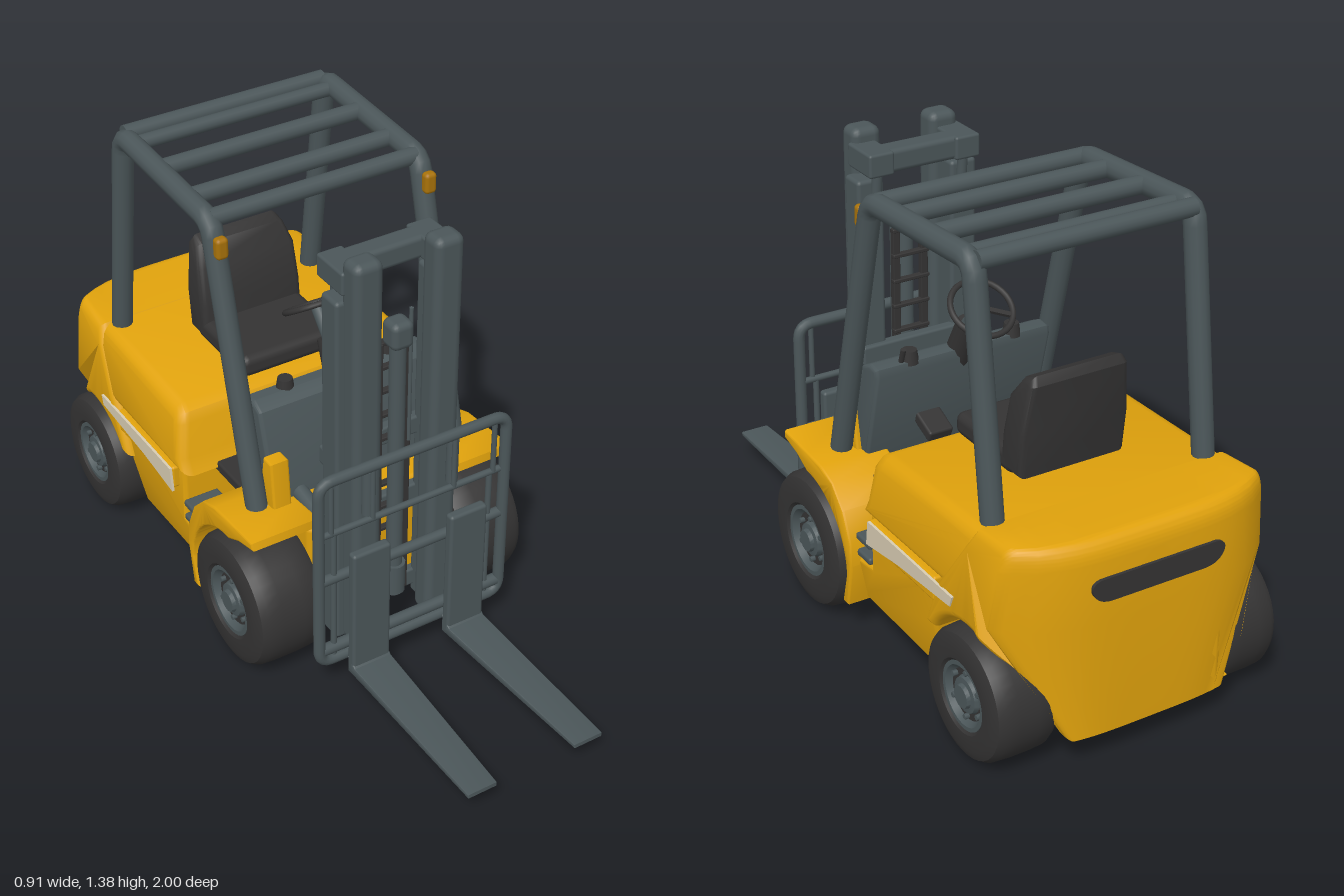
import * as THREE from 'three';
import { toCreasedNormals } from 'three/addons/utils/BufferGeometryUtils.js';
import { RoundedBoxGeometry } from 'three/addons/geometries/RoundedBoxGeometry.js';

const paint = (name, color) => Object.assign(new THREE.MeshStandardMaterial({ color }), { name });
const clamp = (v) => Math.min(1, Math.max(0, v));

export function createModel() {
  const yellow = paint('yellow paint', 0xe0a20c);
  const grey = paint('steel grey', 0x4b5659);
  const black = paint('rubber black', 0x343333);
  const cream = paint('cream stripe', 0xd8ccb2);
  const amber = paint('amber lamp', 0xa8720a);
  const root = new THREE.Group();
  root.name = 'forklift';

  const add = (name, geo, mat, parent = root) => {
    const m = new THREE.Mesh(geo, mat);
    m.name = name;
    parent.add(m);
    return m;
  };
  // box given by its extents on each axis
  const box = (name, mat, [x0, x1], [y0, y1], [z0, z1], r = 0.008) => {
    const g = new RoundedBoxGeometry(x1 - x0, y1 - y0, z1 - z0, 2, r);
    g.translate((x0 + x1) / 2, (y0 + y1) / 2, (z0 + z1) / 2);
    return add(name, g, mat);
  };
  // round bar between two points
  const bar = (name, mat, a, b, r, r2 = r) => {
    const A = new THREE.Vector3(...a), B = new THREE.Vector3(...b), d = B.clone().sub(A);
    const m = add(name, new THREE.CylinderGeometry(r2, r, d.length(), 16), mat);
    m.position.copy(A).add(B).multiplyScalar(0.5);
    m.quaternion.setFromUnitVectors(new THREE.Vector3(0, 1, 0), d.normalize());
    return m;
  };
  const tube = (name, mat, pts, r) => {
    const path = new THREE.CurvePath();
    const v = pts.map((p) => new THREE.Vector3(...p));
    let prev = v[0];
    // straight runs joined by short rounded corners
    for (let i = 1; i < v.length - 1; i++) {
      const a = v[i].clone().add(v[i - 1].clone().sub(v[i]).setLength(0.045));
      const b = v[i].clone().add(v[i + 1].clone().sub(v[i]).setLength(0.045));
      path.add(new THREE.LineCurve3(prev, a));
      path.add(new THREE.QuadraticBezierCurve3(a, v[i], b));
      prev = b;
    }
    path.add(new THREE.LineCurve3(prev, v[v.length - 1]));
    return add(name, new THREE.TubeGeometry(path, 90, r, 12), mat);
  };
  // side profile in (z, y), extruded across x from x0 to x1
  const profile = (pts) => new THREE.Shape(pts.map((p) => new THREE.Vector2(...p)));
  const slab = (name, mat, shape, x0, x1, bevel, rule, steps = 1) => {
    let g = new THREE.ExtrudeGeometry(shape, {
      depth: x1 - x0 - 2 * bevel, steps, curveSegments: 20, bevelEnabled: bevel > 0,
      bevelSize: bevel, bevelThickness: bevel, bevelOffset: -bevel, bevelSegments: 4,
    });
    g.translate(0, 0, -(x1 - x0) / 2 + bevel);
    g.rotateY(-Math.PI / 2);
    g.translate((x0 + x1) / 2, 0, 0);
    if (rule) {
      const p = g.attributes.position, v = new THREE.Vector3();
      for (let i = 0; i < p.count; i++) {
        rule(v.fromBufferAttribute(p, i));
        p.setXYZ(i, v.x, v.y, v.z);
      }
    }
    return add(name, toCreasedNormals(g, 0.6), mat);
  };

  // Rear counterweight: wheel arches, rounded plan and a lower edge narrowing between the wheels
  const cw = profile([[-0.55, 0.3], [-0.61, 0.45], [-0.72, 0.62], [-0.75, 0.67], [-0.94, 0.685]]);
  cw.quadraticCurveTo(-0.985, 0.685, -0.99, 0.62);
  cw.lineTo(-1.0, 0.45);
  cw.lineTo(-0.995, 0.1);
  cw.lineTo(-0.97, 0.1);
  cw.absarc(-0.77, 0.19, 0.205, Math.PI, 0.55, true);
  slab('counterweight', yellow, cw, -0.435, 0.435, 0.025, (v) => {
    v.x *= 1 - 0.09 * clamp((v.y - 0.45) / 0.23) ** 2;
    v.x *= 1 - 0.42 * clamp((-0.85 - v.z) / 0.1) * clamp((0.45 - v.y) / 0.35);
    v.z += 0.12 * clamp((-0.8 - v.z) / 0.2) * (Math.abs(v.x) / 0.43) ** 4;
  }, 16);
  const slot = new THREE.Shape();
  slot.moveTo(-0.18, 0.585).lineTo(0.18, 0.585);
  slot.quadraticCurveTo(0.215, 0.58, 0.205, 0.55);
  slot.quadraticCurveTo(0.19, 0.515, 0.14, 0.515).lineTo(-0.14, 0.515);
  slot.quadraticCurveTo(-0.19, 0.515, -0.205, 0.55);
  slot.quadraticCurveTo(-0.215, 0.58, -0.18, 0.585);
  const slotGeo = new THREE.ExtrudeGeometry(slot, { depth: 0.009, bevelEnabled: false });
  slotGeo.translate(0, 0, -1.003);
  add('rear vent slot', slotGeo, black);

  // Hood and lower body
  slab('hood', yellow, profile([[-0.19, 0.45], [-0.215, 0.5], [-0.23, 0.61], [-0.245, 0.64], [-0.28, 0.655],
    [-0.76, 0.668], [-0.76, 0.6], [-0.66, 0.45]]), -0.425, 0.425, 0.035,
  (v) => { v.x *= 1 - 0.08 * clamp((v.y - 0.5) / 0.16) ** 2; });
  slab('lowerBody', yellow, profile([[-0.1, 0.11], [-0.13, 0.27], [-0.22, 0.28], [-0.22, 0.46], [-0.65, 0.46],
    [-0.6, 0.38], [-0.57, 0.28], [-0.57, 0.1]]), -0.41, 0.41, 0.015,
  (v) => { v.x *= 1 - 0.1 * clamp((0.25 - v.y) / 0.15); });
  box('chassisCore', yellow, [-0.235, 0.235], [0.1, 0.45], [-0.985, 0.2], 0.02);
  box('rearAxle', grey, [-0.3, 0.3], [0.075, 0.16], [-0.82, -0.72]);
  bar('frontAxle', grey, [-0.3, 0.21, 0.1], [0.3, 0.21, 0.1], 0.05);

  // Footwell floor, dash and cowl
  box('floor', black, [-0.31, 0.31], [0.43, 0.465], [-0.23, 0.12]);
  slab('dash', grey, profile([[0.1, 0.46], [0.1, 0.53], [0.03, 0.77], [-0.01, 0.79], [-0.05, 0.785], [-0.055, 0.76],
    [0.02, 0.46]]), -0.29, 0.29, 0.012);
  box('frontCowl', yellow, [-0.235, 0.235], [0.44, 0.5], [0.06, 0.2], 0.015);
  for (const x of [-0.17, 0.17]) bar('dashKnob', black, [x, 0.775, -0.03], [x, 0.815, -0.03], 0.028, 0.022);
  bar('lever', black, [0.2, 0.77, -0.03], [0.2, 0.83, -0.05], 0.008);
  const pedal = box('pedal', black, [0.06, 0.14], [-0.018, 0.018], [-0.06, 0.06]);
  pedal.position.set(0, 0.57, -0.03);
  pedal.rotation.x = -0.4;

  // Steering column and wheel
  bar('steeringColumn', black, [0, 0.66, 0.03], [0, 0.87, -0.07], 0.045, 0.035);
  bar('steeringShaft', grey, [0, 0.86, -0.06], [0, 0.95, -0.14], 0.02);
  const steer = new THREE.Group();
  steer.name = 'steeringWheel';
  steer.position.set(0, 0.945, -0.14);
  steer.rotation.x = -Math.PI / 2 + 0.6 - 1.2 + 1.2 - 1.2;
  root.add(steer);
  add('steeringRim', new THREE.TorusGeometry(0.092, 0.009, 10, 32), black, steer);
  for (let i = 0; i < 3; i++) {
    const spoke = add('steeringSpoke', new THREE.BoxGeometry(0.014, 0.09, 0.01).translate(0, 0.045, 0), black, steer);
    spoke.rotation.z = (i * Math.PI * 2) / 3;
  }
  steer.rotation.x = Math.PI / 2 - 0.6;

  // Seat
  box('seatCushion', black, [-0.17, 0.17], [0.66, 0.73], [-0.56, -0.27], 0.025);
  slab('seatBack', black, profile([[-0.5, 0.67], [-0.51, 0.78], [-0.535, 0.9], [-0.575, 0.96], [-0.615, 0.975],
    [-0.63, 0.95], [-0.615, 0.8], [-0.6, 0.67]]), -0.17, 0.17, 0.02,
  (v) => { v.x *= 1 - 0.15 * clamp((v.y - 0.85) / 0.12) ** 2; });

  // Wheels
  const wheel = (side, z, r, x0, x1) => {
    const g = new THREE.Group();
    g.name = z > 0 ? 'frontWheel' : 'rearWheel';
    g.position.set(side * (x0 + x1) / 2, r, z);
    g.rotation.y = side > 0 ? 0 : Math.PI;
    root.add(g);
    const h = (x1 - x0) / 2, rim = r * 0.52;
    const lathe = (name, mat, pts) => add(name, toCreasedNormals(new THREE.LatheGeometry(
      pts.map((p) => new THREE.Vector2(...p)), 40).rotateZ(-Math.PI / 2), 0.6), mat, g);
    lathe('tyre', black, [[0, -h], [r * 0.8, -h], [r * 0.93, -h * 0.93], [r * 0.985, -h * 0.75], [r, -h * 0.3],
      [r, h * 0.3], [r * 0.985, h * 0.72], [r * 0.93, h * 0.9], [r * 0.8, h], [rim * 1.08, h * 0.98], [rim, h * 0.9],
      [rim, h * 0.72], [0, h * 0.72]]);
    lathe('rim', grey, [[rim, h * 0.7], [rim, h * 0.92], [rim * 0.88, h * 0.92], [rim * 0.75, h * 0.75]]);
    lathe('hub', grey, [[0.055, h * 0.7], [0.05, h * 0.85], [0.035, h * 0.87], [0.032, h * 0.98], [0, h * 0.98]]);
    for (let i = 0; i < 6; i++) {
      const a = (i * Math.PI) / 3;
      add('wheelNut', new THREE.CylinderGeometry(0.008, 0.008, 0.02, 6).rotateZ(-Math.PI / 2)
        .translate(h * 0.76, Math.cos(a) * 0.068, Math.sin(a) * 0.068), grey, g);
    }
  };

  // Paired parts on each side
  const fender = profile([[0.24, 0.485], [0.235, 0.51], [0.1, 0.5], [0.02, 0.495], [-0.05, 0.47], [-0.11, 0.41],
    [-0.15, 0.32], [-0.155, 0.25], [-0.13, 0.11], [-0.1, 0.11]]);
  fender.absarc(0.1, 0.21, 0.225, Math.PI, Math.PI * 0.5, true);
  fender.lineTo(0.16, 0.465);
  const stripe = [[-0.245, 0.375], [-0.255, 0.452], [-0.7, 0.452], [-0.69, 0.42], [-0.42, 0.4]];
  for (const s of [-1, 1]) {
    const X = (a, b) => (s > 0 ? [a, b] : [-b, -a]);
    wheel(s, 0.1, 0.208, 0.235, 0.455);
    wheel(s, -0.77, 0.19, 0.26, 0.455);
    slab('frontFender', yellow, fender, ...X(0.22, 0.44), 0.008);
    slab('sideStripe', cream, profile(stripe), ...X(0.43, 0.438), 0);
    box('stripeBacking', yellow, X(0.38, 0.431), [0.38, 0.455], [-0.6, -0.25]);
    for (const y of [0.29, 0.34]) box('step', grey, X(0.3, 0.415), [y - 0.01, y + 0.012], [-0.22, -0.14]);
    slab('pillarCheek', yellow, profile([[0.13, 0.48], [0.115, 0.65], [0.07, 0.65], [0.04, 0.48]]), ...X(0.245, 0.305), 0.008);
    box('pillarFoot', cream, X(0.3, 0.37), [0.42, 0.5], [0.075, 0.12]);

    // Overhead guard side frame
    tube('guardFrame', grey, [[s * 0.335, 0.48, 0.085], [s * 0.335, 1.33, -0.125], [s * 0.335, 1.355, -0.635],
      [s * 0.335, 0.64, -0.735]], 0.032);
    box('markerLamp', amber, X(0.316, 0.354), [1.24, 1.305], [-0.09, -0.058], 0.012);

    // Mast rails
    box('innerMastRail', grey, X(0.08, 0.172), [0.08, 1.37], [0.265, 0.345], 0.025);
    box('outerMastRail', grey, X(0.11, 0.195), [0.08, 1.24], [0.205, 0.285], 0.012);
    box('mastTopBracket', grey, X(0.1, 0.18), [1.26, 1.33], [0.16, 0.29]);
    bar('mastHose', grey, [s * 0.14, 1.27, 0.19], [s * 0.14, 1.17, 0.2], 0.015);
    box('liftChain', black, X(0.035, 0.058), [0.16, 1.05], [0.25, 0.27], 0.003);
    bar('chainGuide', grey, [s * 0.052, 0.7, 0.27], [s * 0.052, 1.14, 0.27], 0.006);
    bar('tiltCylinder', grey, [s * 0.2, 0.48, 0.22], [s * 0.2, 0.52, 0.02], 0.025);
    bar('carriageRoller', grey, [s * 0.14, 0.58, 0.36], [s * 0.14, 0.73, 0.36], 0.018);

    // Fork: upright shank and tapered blade
    box('forkShank', grey, X(0.1, 0.225), [0.065, 0.5], [0.392, 0.425], 0.01);
    slab('forkBlade', grey, profile([[0.395, 0.06], [0.395, 0.12], [0.43, 0.09], [1.0, 0.085], [1.0, 0.072], [0.5, 0.063]]),
      ...X(0.1, 0.225), 0.004, (v) => {
        const t = clamp((v.z - 0.42) / 0.58);
        v.x = s * (0.225 - (0.225 - Math.abs(v.x)) * (1 - 0.24 * t));
      });
  }

  // Overhead guard cross bars
  for (const [y, z, r] of [[1.33, -0.14, 0.026], [1.335, -0.26, 0.026], [1.345, -0.425, 0.026], [1.35, -0.58, 0.022],
    [1.355, -0.64, 0.026]]) bar('guardCrossBar', grey, [-0.33, y, z], [0.33, y, z], r);

  // Mast cross members and lift cylinder
  box('mastTopMember', grey, [-0.17, 0.17], [1.26, 1.33], [0.17, 0.24], 0.015);
  for (const y of [0.7, 0.46, 0.14]) box('mastCrossMember', grey, [-0.195, 0.195], [y - 0.03, y + 0.03], [0.19, 0.225]);
  for (let y = 0.24; y < 1.04; y += 0.08) box('hoseClip', black, [-0.06, 0.06], [y, y + 0.012], [0.245, 0.265], 0.003);
  bar('liftCylinder', grey, [0, 0.18, 0.285], [0, 1.08, 0.285], 0.024);
  box('liftCylinderHead', grey, [-0.035, 0.035], [1.045, 1.13], [0.25, 0.32], 0.02);
  bar('liftCylinderFoot', grey, [0, 0.19, 0.285], [0, 0.29, 0.285], 0.034);

  // Fork carriage and load backrest
  tube('backrestFrame', grey, [[0, 0.755, 0.378], [0.31, 0.755, 0.378], [0.31, 0.115, 0.378], [0, 0.115, 0.378]], 0.017);
  tube('backrestFrame', grey, [[0, 0.755, 0.378], [-0.31, 0.755, 0.378], [-0.31, 0.115, 0.378], [0, 0.115, 0.378]], 0.017);
  for (const [y, r] of [[0.57, 0.01], [0.41, 0.016], [0.155, 0.018]]) {
    bar('carriageBar', grey, [-0.31, y, 0.375], [0.31, y, 0.375], r);
  }
  for (const x of [-0.27, -0.135, 0.135, 0.27]) bar('backrestBar', grey, [x, 0.57, 0.378], [x, 0.755, 0.378], 0.008);
  for (const x of [-0.26, 0.26]) bar('carriageUpright', grey, [x, 0.115, 0.375], [x, 0.57, 0.375], 0.009);
  return root;
}
